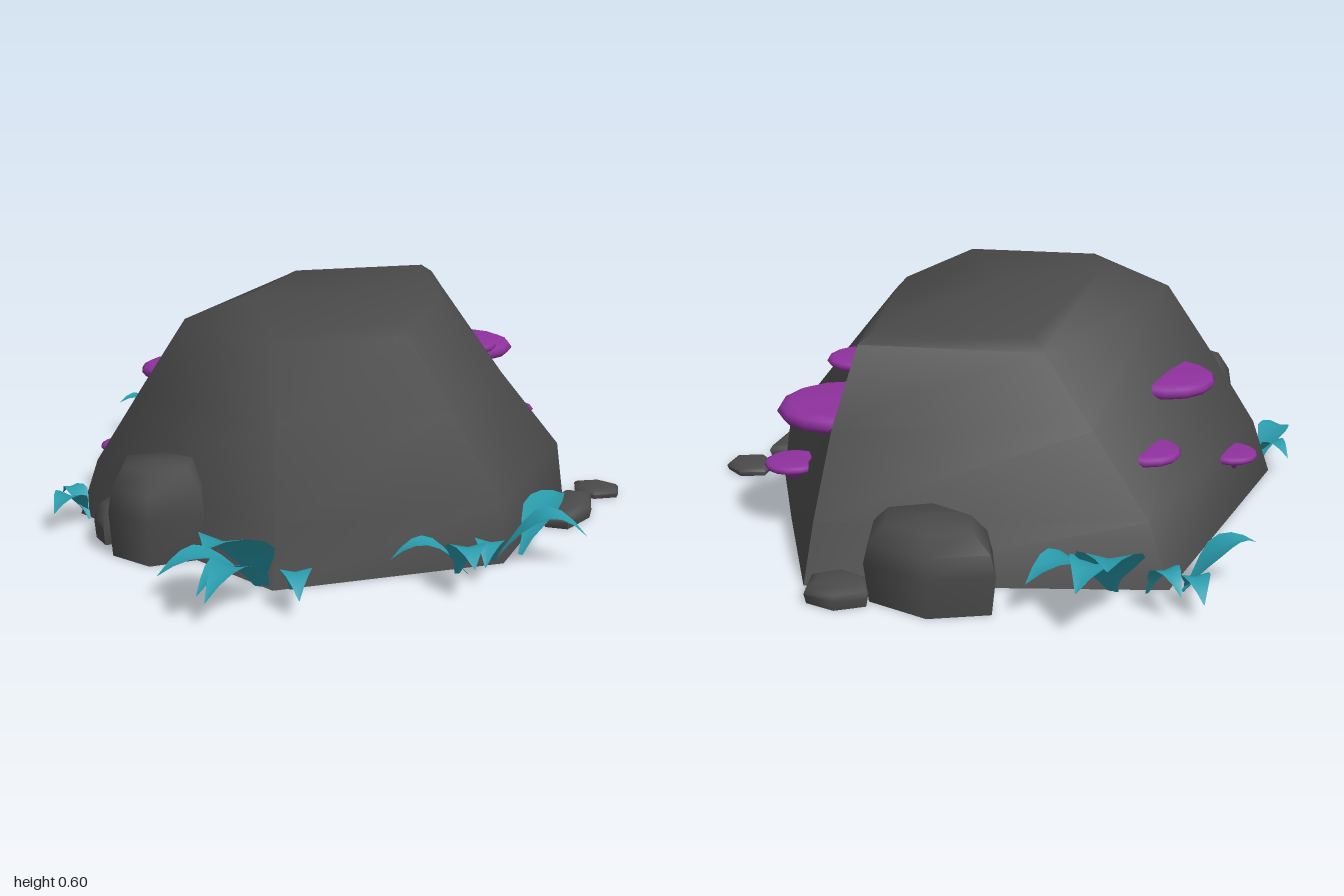
import * as THREE from 'three';
import { toCreasedNormals } from 'three/addons/utils/BufferGeometryUtils.js';

const mat = (name, color) => {
  const m = new THREE.MeshStandardMaterial({ color, side: THREE.DoubleSide });
  m.name = name;
  return m;
};

// Skin a stack of equal-length rings and close the top with a centre point.
function loft(rings, top, crease) {
  const n = rings[0].length, index = [];
  const points = rings.flat();
  for (let r = 0; r < rings.length - 1; r++) {
    for (let i = 0; i < n; i++) {
      const a = r * n + i, b = r * n + (i + 1) % n;
      index.push(a, b, b + n, a, b + n, a + n);
    }
  }
  const last = (rings.length - 1) * n;
  for (let i = 0; i < n; i++) index.push(last + i, last + (i + 1) % n, points.length);
  const g = new THREE.BufferGeometry();
  g.setAttribute('position', new THREE.Float32BufferAttribute([...points, top].flat(), 3));
  g.setIndex(index);
  return toCreasedNormals(g, crease);
}

// Boulder: seven points per ring from the front corner round to the left flank,
// hollowed between the third and fifth, open underneath
function boulderGeometry() {
  return loft([
    [[0.15, 0, 0.67], [0.62, 0, 0.28], [0.62, 0, -0.35], [0.4, 0, -0.61], [0.13, 0, -0.92], [-0.65, 0, -0.51], [-0.57, 0, 0.32]],
    [[0.14, 0.15, 0.63], [0.605, 0.15, 0.25], [0.605, 0.15, -0.33], [0.36, 0.15, -0.59], [0.13, 0.15, -0.87], [-0.58, 0.15, -0.48], [-0.53, 0.15, 0.29]],
    [[0.08, 0.36, 0.5], [0.455, 0.36, 0.21], [0.455, 0.36, -0.26], [0.24, 0.36, -0.51], [0.13, 0.36, -0.78], [-0.43, 0.36, -0.49], [-0.41, 0.36, 0.24]],
    [[0.02, 0.54, 0.38], [0.32, 0.54, 0.16], [0.32, 0.54, -0.21], [0.22, 0.55, -0.45], [0.11, 0.55, -0.69], [-0.3, 0.54, -0.5], [-0.31, 0.54, 0.18]],
    [[0.01, 0.55, 0.34], [0.29, 0.575, 0.14], [0.29, 0.575, -0.2], [0.2, 0.575, -0.42], [0.09, 0.575, -0.65], [-0.25, 0.565, -0.47], [-0.16, 0.6, 0.1]],
  ], [0.05, 0.58, -0.1], 1.2);
}

// Small stone: irregular six-sided rings, bulging then bevelled
function stoneGeometry(rx, rz, h, phase) {
  const ring = (s, y) => Array.from({ length: 6 }, (_, i) => {
    const a = phase - i * Math.PI / 3;
    const k = s * (1 + 0.07 * Math.sin(i * 2.4 + phase * 3));
    return [rx * k * Math.cos(a), y * h, rz * k * Math.sin(a)];
  });
  return loft([ring(0.95, 0), ring(1.02, 0.5), ring(0.94, 0.76), ring(0.68, 0.98)], [0, h, 0], 1.2);
}

// Shelf mushroom: flat cap with a thin rim and a tapering underside
function mushroomGeometry(r) {
  const profile = [[0, -0.52], [0.22, -0.5], [0.32, -0.3], [0.6, -0.17], [0.92, -0.08], [1, 0.02], [0.94, 0.11], [0.8, 0.17], [0, 0.2]];
  return new THREE.LatheGeometry(profile.map(([x, y]) => new THREE.Vector2(x * r, y * r)), 14);
}

// Leaf: short stalk, pointed blade, bent along an arc and folded on its midrib
function leafGeometry(length, width, height, bend) {
  const widths = [0.14, 0.32, 0.72, 1, 0.94, 0.68, 0.36, 0.02];
  const g = new THREE.PlaneGeometry(1, 1, 2, widths.length - 1);
  const p = g.attributes.position;
  for (let i = 0; i < p.count; i++) {
    const row = Math.floor(i / 3), side = i % 3 - 1;
    const t = row / (widths.length - 1);
    const w = widths[row] * width / 2;
    const y = height * Math.sin(Math.PI * bend * t) + Math.abs(side) * w * 0.22;
    p.setXYZ(i, side * w, y + 0.01, t * length);
  }
  g.computeVertexNormals();
  return g;
}

export function createModel() {
  const model = new THREE.Group();
  model.name = 'mushroomBoulder';
  const rock = mat('darkRock', 0x4a4a4a);
  const purple = mat('purpleMushroom', 0x8f319e);
  const teal = mat('tealLeaf', 0x2a9dae);
  const add = (name, geometry, material, x = 0, y = 0, z = 0) => {
    const mesh = new THREE.Mesh(geometry, material);
    mesh.name = name;
    mesh.position.set(x, y, z);
    model.add(mesh);
    return mesh;
  };

  add('boulder', boulderGeometry(), rock);

  // Stones around the foot: x, z, half width, half depth, height, turn
  [
    [-0.24, 0.5, 0.14, 0.14, 0.24, 0.25],
    [-0.38, 0.45, 0.07, 0.075, 0.1, 0.6],
    [-0.165, -0.81, 0.18, 0.135, 0.2, 0.15],
    [0.02, -0.93, 0.085, 0.078, 0.05, 0.1],
    [0.68, -0.155, 0.066, 0.15, 0.045, 0],
    [0.71, -0.385, 0.07, 0.065, 0.025, 0.4],
  ].forEach(([x, z, rx, rz, h, turn]) => add('stone', stoneGeometry(rx, rz, h, turn), rock, x, 0, z));

  // Shelf mushrooms on both flanks: x, y, z, radius
  [
    [0.31, 0.395, -0.4, 0.087],
    [0.225, 0.34, -0.61, 0.16],
    [0.385, 0.16, -0.61, 0.075],
    [-0.4, 0.345, -0.025, 0.135],
    [-0.48, 0.25, -0.3, 0.09],
    [-0.555, 0.13, 0.075, 0.072],
  ].forEach(([x, y, z, r]) => add('shelfMushroom', mushroomGeometry(r), purple, x, y, z));

  // Leaves: root x, z, tip x, z, width, height, bend (above 0.6 droops)
  [
    // front tuft
    [0.13, 0.67, 0.12, 0.99, 0.18, 0.2, 0.55],
    [0.1, 0.66, -0.08, 0.83, 0.11, 0.09, 0.8],
    [0.11, 0.68, 0.05, 0.89, 0.08, 0.09, 0.85],
    [0.12, 0.68, 0.1, 0.95, 0.09, 0.1, 0.82],
    [0.2, 0.67, 0.28, 0.82, 0.08, 0.08, 0.85],
    // left front tufts
    [0.57, 0.42, 0.4, 0.52, 0.08, 0.09, 0.8],
    [0.54, 0.42, 0.63, 0.58, 0.1, 0.11, 0.75],
    [0.6, 0.3, 0.62, 0.45, 0.08, 0.08, 0.85],
    [0.6, 0.29, 0.82, 0.23, 0.11, 0.12, 0.8],
    [0.65, 0.23, 0.71, 0.02, 0.1, 0.12, 0.65],
    // right front tuft
    [-0.51, 0.38, -0.63, 0.31, 0.06, 0.07, 0.8],
    [-0.53, 0.35, -0.55, 0.5, 0.09, 0.08, 0.8],
    // right back tufts
    [-0.54, -0.6, -0.67, -0.88, 0.16, 0.2, 0.55],
    [-0.55, -0.6, -0.56, -0.82, 0.13, 0.13, 0.75],
    [-0.53, -0.6, -0.43, -0.82, 0.11, 0.12, 0.75],
    [-0.62, -0.57, -0.75, -0.66, 0.07, 0.1, 0.8],
    [-0.69, -0.5, -0.79, -0.62, 0.07, 0.07, 0.85],
    [-0.69, -0.52, -0.82, -0.39, 0.09, 0.12, 0.65],
  ].forEach(([x, z, tx, tz, w, h, bend]) => {
    const leaf = add('leaf', leafGeometry(Math.hypot(tx - x, tz - z), w, h, bend), teal, x, 0, z);
    leaf.rotation.y = Math.atan2(tx - x, tz - z);
  });

  return model;
}
